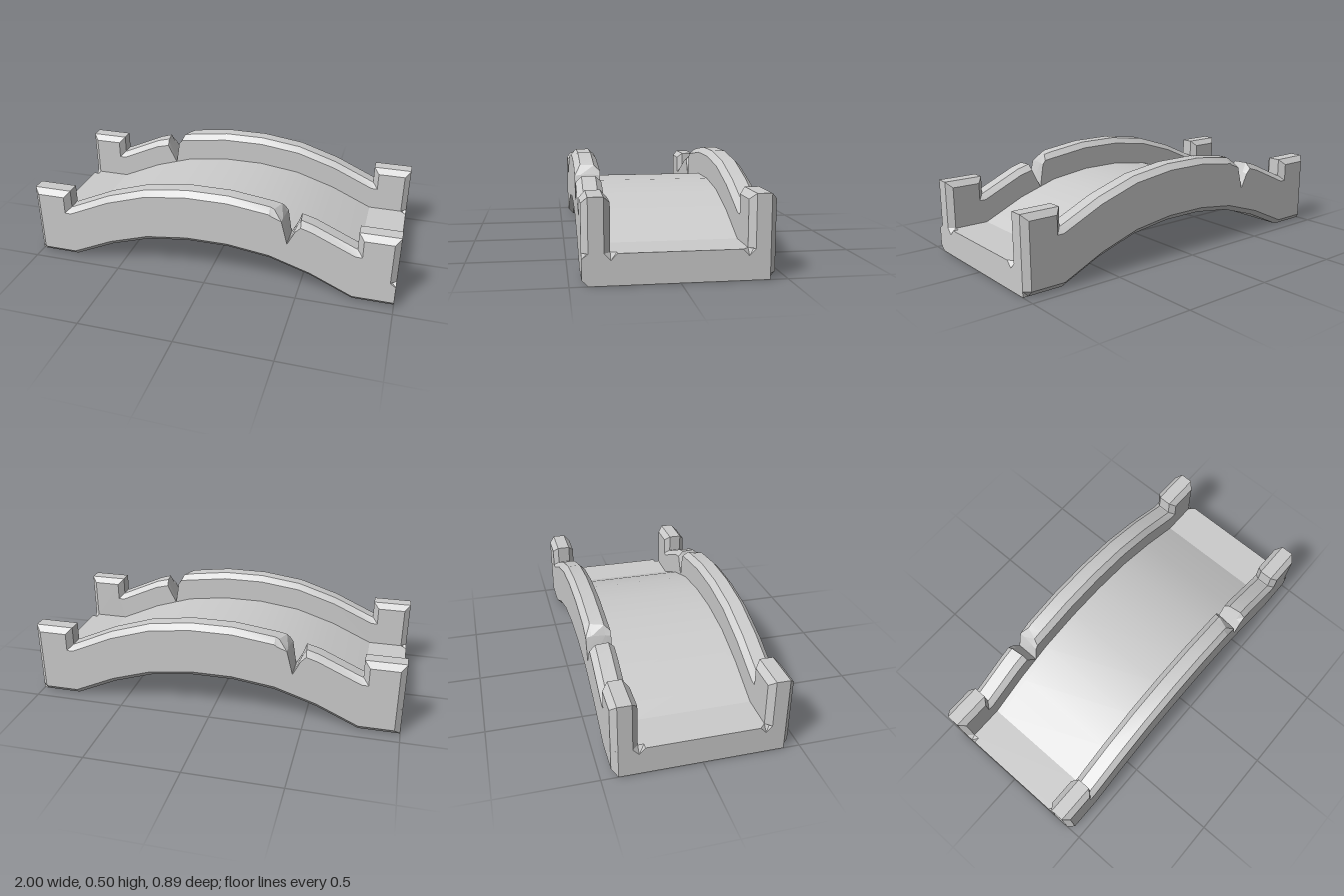
import * as THREE from 'three';
import { toCreasedNormals } from 'three/addons/utils/BufferGeometryUtils.js';
import { ConvexGeometry } from 'three/addons/geometries/ConvexGeometry.js';

const DECK = 0.147, RAIL = 0.303, CUT = 0.03;
const OUT = 0.445, IN = 0.315;

// Height of the arch underside along the bridge
const ARCH = [[0, 0.202], [0.113, 0.202], [0.34, 0.172], [0.56, 0.102], [0.785, 0]];
function under(x) {
  const a = Math.abs(x);
  for (let i = 1; i < ARCH.length; i++) {
    const [x0, y0] = ARCH[i - 1], [x1, y1] = ARCH[i];
    if (a <= x1) return y0 + (y1 - y0) * (a - x0) / (x1 - x0);
  }
  return 0;
}

// Joins matching [x, y, z] rings along +x and caps both ends
function loft(rings) {
  const pos = [];
  const tri = (...points) => points.forEach((p) => pos.push(...p));
  const n = rings[0].length;
  for (let i = 0; i < rings.length - 1; i++) {
    for (let j = 0; j < n; j++) {
      const k = (j + 1) % n;
      const a = rings[i][j], b = rings[i][k], c = rings[i + 1][k], d = rings[i + 1][j];
      tri(a, b, c);
      tri(a, c, d);
    }
  }
  [rings[0], rings[rings.length - 1]].forEach((r, end) => {
    const flat = r.map((p) => new THREE.Vector2(p[1], p[2]));
    for (const [a, b, c] of THREE.ShapeUtils.triangulateShape(flat, [])) {
      if (end) tri(r[a], r[b], r[c]);
      else tri(r[a], r[c], r[b]);
    }
  });
  const g = new THREE.BufferGeometry();
  g.setAttribute('position', new THREE.Float32BufferAttribute(pos, 3));
  return toCreasedNormals(g, 0.32);
}

// Half of a deck section, from the walkway out and down: [z, y]
function halfSection(x, style) {
  const b = under(x), t = b + DECK;
  const dip = style === 'plain' ? t : t - 0.032;
  const half = [[0.285, t], [IN, dip], [0.345, t], [0.415, t]];
  if (style === 'cut') half.push([0.415, t - 0.001], [0.415, b + CUT]);
  else half.push([OUT, style === 'stop' ? 0.125 : t], [OUT, b + CUT]);
  half.push([0.415, b]);
  return half;
}

function deckRing(x, frontStyle, backStyle) {
  const front = halfSection(x, frontStyle).map(([z, y]) => [x, y, z]);
  const back = halfSection(x, backStyle).map(([z, y]) => [x, y, -z]).reverse();
  return [...front, ...back];
}

function deckGeometry() {
  const xs = [-0.97, -0.785, -0.56, -0.34, -0.113, 0.113, 0.34, 0.56, 0.785, 0.97];
  return loft([
    deckRing(-1, 'cut', 'cut'),
    ...xs.map((x) => deckRing(x, 'plain', 'plain')),
    deckRing(1, 'stop', 'cut'),
  ]);
}

// Bevelled parapet with a broken V notch right through it
function railGeometry() {
  const ring = (x, edge, top, skew = 0) => {
    const floor = under(x) + DECK;
    return [
      [x, floor, IN], [x + skew, edge, IN], [x + skew * 0.75, top, 0.345],
      [x + skew * 0.2, top, 0.415], [x, edge, OUT], [x, floor, OUT],
    ];
  };
  const whole = (x, skew) => {
    const top = under(x) + RAIL;
    return ring(x, top - CUT, top, skew);
  };
  return loft([
    ...[-0.82, -0.785, -0.56, -0.34, -0.113, 0.113].map((x) => whole(x)),
    whole(0.335),
    ring(0.345, 0.437, 0.466, 0.05),
    ring(0.4, 0.415, 0.42, 0.012),
    ring(0.433, 0.287, 0.287),
    ring(0.472, 0.365, 0.375),
    whole(0.5, -0.015),
    ...[0.56, 0.785, 0.82].map((x) => whole(x)),
  ]);
}

// End post: bevelled upright corners and bevelled long top edges
function postGeometry() {
  const points = [], half = 0.105, wide = (OUT - IN) / 2;
  for (const sx of [-1, 1]) for (const sz of [-1, 1]) {
    const add = (x, y, z) => points.push(new THREE.Vector3(sx * x, y, sz * z));
    add(half, DECK, wide - CUT);
    add(half, 0.4, wide - CUT);
    add(half - CUT, DECK, wide);
    add(half - CUT, 0.37, wide);
  }
  return toCreasedNormals(new ConvexGeometry(points), 0.3);
}

export function createModel() {
  const group = new THREE.Group();
  const material = new THREE.MeshStandardMaterial({ color: 0xcccccc });
  const add = (name, geometry) => {
    const mesh = new THREE.Mesh(geometry, material);
    mesh.name = name;
    group.add(mesh);
    return mesh;
  };

  add('archedDeck', deckGeometry());

  // The back parapet is the front one turned half round
  const rail = railGeometry();
  add('frontParapet', rail);
  add('backParapet', rail).rotation.y = Math.PI;

  const post = postGeometry();
  for (const sx of [-1, 1]) for (const sz of [-1, 1]) {
    const name = (sz > 0 ? 'front' : 'back') + (sx > 0 ? 'Left' : 'Right') + 'Post';
    add(name, post).position.set(sx * 0.895, 0, sz * (OUT + IN) / 2);
  }
  return group;
}
